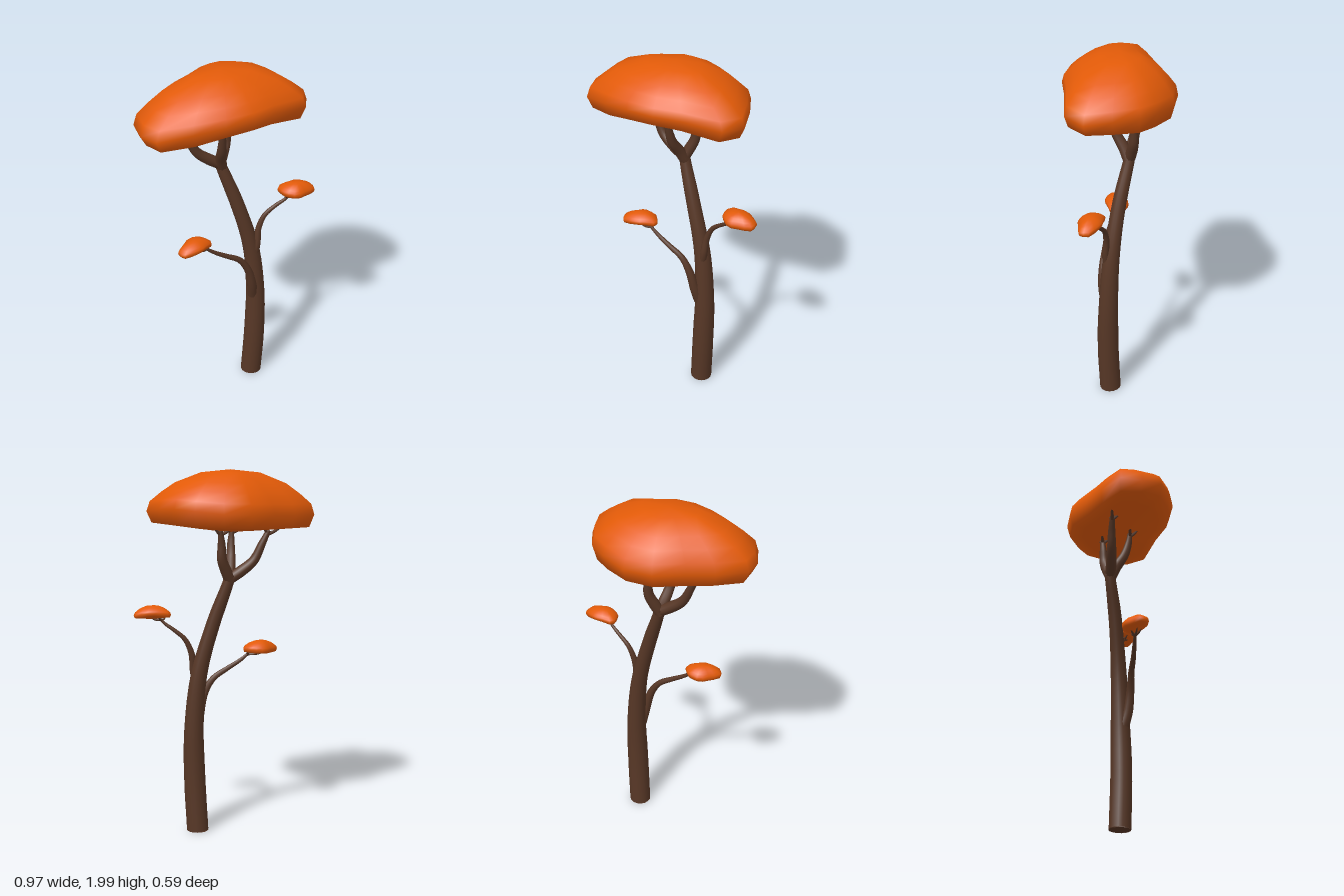
import * as THREE from 'three';
import { mergeVertices } from 'three/addons/utils/BufferGeometryUtils.js';

const bark = new THREE.MeshStandardMaterial({ color: 0x573726, side: THREE.DoubleSide });
const leaf = new THREE.MeshStandardMaterial({ color: 0xe25a08 });

// Tube along points, its radius blended through a list
function limb(name, points, radii, sides = 10) {
  const path = new THREE.CatmullRomCurve3(points.map(p => new THREE.Vector3(...p)));
  const n = points.length * 4;
  const geo = new THREE.TubeGeometry(path, n, 1, sides, false);
  const pos = geo.attributes.position, v = new THREE.Vector3();
  for (let i = 0; i <= n; i++) {
    const t = i / n, c = path.getPointAt(t);
    const k = Math.min(t * (radii.length - 1), radii.length - 1 - 1e-6), a = Math.floor(k);
    const r = THREE.MathUtils.lerp(radii[a], radii[a + 1], k - a);
    for (let j = 0; j <= sides; j++) {
      const id = i * (sides + 1) + j;
      v.fromBufferAttribute(pos, id).sub(c).multiplyScalar(r).add(c);
      pos.setXYZ(id, v.x, v.y, v.z);
    }
  }
  const mesh = new THREE.Mesh(geo, bark);
  mesh.name = name;
  return mesh;
}

// Widest outline of the crown: x, y, z and the height of its lower lip
const RIM = [
  [-0.485, 0.08, 0.01, 0.025], [-0.46, 0.09, 0.125, 0.03], [-0.31, 0.13, 0.215, 0.06],
  [-0.16, 0.155, 0.275, 0.095], [-0.01, 0.16, 0.295, 0.105], [0.13, 0.15, 0.265, 0.09],
  [0.33, 0.125, 0.24, 0.06], [0.405, 0.11, 0.14, 0.05], [0.38, 0.125, 0, 0.05],
  [0.335, 0.13, -0.13, 0.045], [0.25, 0.12, -0.205, 0.04], [0.12, 0.105, -0.285, 0.035],
  [-0.03, 0.1, -0.297, 0.03], [-0.18, 0.095, -0.23, 0.025], [-0.32, 0.09, -0.18, 0.022],
  [-0.465, 0.09, -0.105, 0.022],
];
// Rings as [scale, share of the rise]: centre to lip below, rim to peak above
const UNDER = [[0, 0], [0.35, 0.3], [0.7, 0.72], [0.94, 1]];
const OVER = [[1, 0], [0.96, 0.24], [0.82, 0.47], [0.66, 0.69], [0.35, 0.93], [0, 1]];

function crownGeometry() {
  const verts = [], index = [], n = RIM.length, cx = -0.02, height = 0.33;
  const ring = (s, rise) => RIM.forEach(p => verts.push(cx + (p[0] - cx) * s, rise(p), p[2] * s));
  UNDER.forEach(([s, f]) => ring(s, p => p[3] * f));
  OVER.forEach(([s, f]) => ring(s, p => p[1] + (height - p[1]) * f));
  const last = UNDER.length + OVER.length - 2;
  for (let i = 0; i <= last; i++) {
    for (let j = 0; j < n; j++) {
      const a = i * n + j, b = i * n + (j + 1) % n;
      if (i > 0) index.push(a, b, b + n);
      if (i < last) index.push(a, b + n, a + n);
      else index.push(a, b, a + n);
    }
  }
  const geo = new THREE.BufferGeometry();
  geo.setAttribute('position', new THREE.Float32BufferAttribute(verts, 3));
  geo.setIndex(index.slice(0, index.length - 0));
  const merged = mergeVertices(geo);
  merged.computeVertexNormals();
  return merged;
}

// Short twigs fanning out from a branch tip
function twigs(name, from, ends, r) {
  const g = new THREE.Group();
  g.name = name;
  for (const e of ends) {
    const mid = from.map((c, k) => c * 0.5 + e[k] * 0.5 + (k === 1 ? -0.006 : 0));
    g.add(limb('twig', [from, mid, e], [r, r * 0.8, r * 0.3], 6));
  }
  return g;
}

export function createModel() {
  const tree = new THREE.Group();
  tree.name = 'tree';

  // Trunk and its flat foot
  tree.add(limb('trunk', [[0.16, 0.01, 0.04], [0.172, 0.3, 0.05], [0.176, 0.6, 0.046], [0.15, 0.9, 0.03],
    [0.08, 1.18, -0.005], [0.012, 1.4, -0.05], [0, 1.45, -0.06]],
    [0.06, 0.06, 0.058, 0.052, 0.046, 0.04, 0.036, 0.028], 16));
  const foot = new THREE.Mesh(new THREE.CircleGeometry(0.06, 16), bark);
  foot.name = 'trunkFoot';
  foot.rotation.x = Math.PI / 2;
  foot.position.set(0.16, 0.009, 0.04);
  tree.add(foot);

  // Three forks carrying the main crown
  const forks = [
    [[0.01, 1.42, -0.052], [-0.06, 1.465, -0.062], [-0.125, 1.52, -0.075], [-0.17, 1.61, -0.085], [-0.205, 1.68, -0.09]],
    [[0.01, 1.41, -0.048], [-0.01, 1.47, -0.022], [-0.03, 1.54, 0.02], [-0.04, 1.62, 0.043], [-0.047, 1.68, 0.05]],
    [[0.0, 1.41, -0.053], [0.03, 1.47, -0.067], [0.056, 1.53, -0.078], [0.06, 1.61, -0.082], [0.067, 1.68, -0.085]],
  ];
  for (const p of forks) {
    tree.add(limb('fork', p, [0.03, 0.03, 0.026, 0.021, 0.013]));
    const [x, y, z] = p[4];
    tree.add(twigs('forkTwigs', [x, y - 0.02, z],
      [[x - 0.075, y + 0.03, z - 0.02], [x + 0.04, y + 0.03, z - 0.01], [x - 0.01, y + 0.035, z + 0.05]], 0.01));
  }

  // Two side branches
  tree.add(limb('rightBranch', [[0.15, 0.58, 0.06], [0.13, 0.67, 0.08], [0.1, 0.78, 0.085], [0.05, 0.86, 0.078],
    [-0.03, 0.912, 0.07], [-0.1, 0.955, 0.058], [-0.15, 0.995, 0.05]],
    [0.03, 0.027, 0.023, 0.018, 0.015, 0.012, 0.008]));
  tree.add(twigs('rightTwigs', [-0.145, 0.988, 0.05],
    [[-0.24, 0.997, 0.04], [-0.2, 1.012, 0.075], [-0.13, 1.015, 0.03], [-0.2, 1.005, 0.01]], 0.007));
  tree.add(limb('leftBranch', [[0.16, 0.84, 0.05], [0.173, 0.92, 0.06], [0.185, 1.01, 0.054], [0.22, 1.09, 0.06],
    [0.28, 1.145, 0.08], [0.325, 1.18, 0.1], [0.345, 1.205, 0.108]],
    [0.024, 0.021, 0.018, 0.015, 0.012, 0.01, 0.007]));
  tree.add(twigs('leftTwigs', [0.34, 1.197, 0.106],
    [[0.4, 1.213, 0.12], [0.31, 1.212, 0.12], [0.36, 1.215, 0.08], [0.37, 1.215, 0.14]], 0.007));

  // Main crown and two small ones of the same shape
  const geo = crownGeometry();
  const crown = (name, x, y, z, scale, turn) => {
    const mesh = new THREE.Mesh(geo, leaf);
    mesh.name = name;
    mesh.position.set(x, y, z);
    mesh.scale.setScalar(scale);
    mesh.rotation.y = turn;
    tree.add(mesh);
  };
  crown('mainCrown', 0, 1.67, 0, 1, 0);
  crown('rightCrown', -0.207, 0.993, 0.033, 0.222, 0.25);
  crown('leftCrown', 0.378, 1.204, 0.115, 0.225, Math.PI - 0.25);
  return tree;
}
